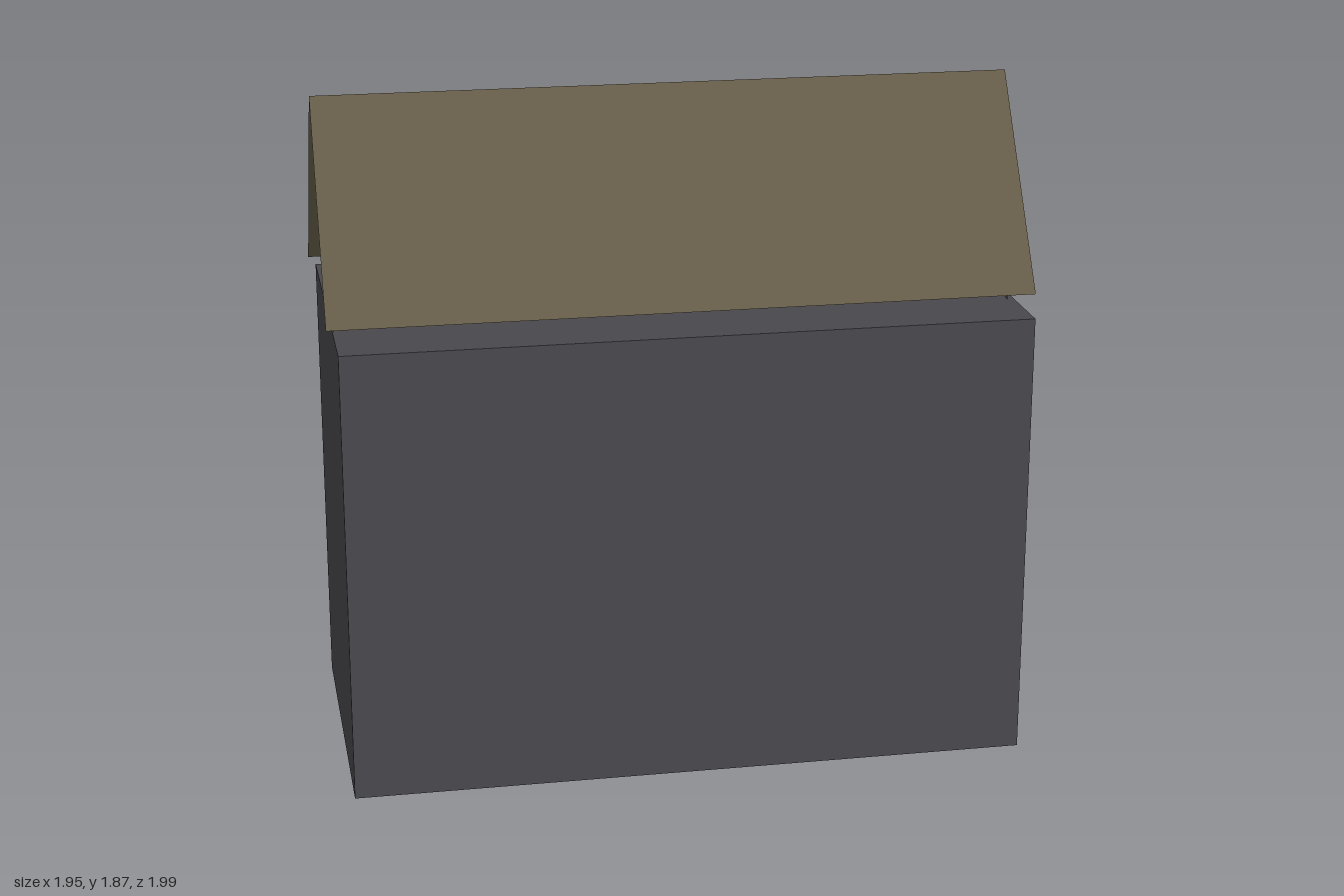
import * as THREE from 'three';

const LENGTH = 1.885, WIDTH = 0.905, WALL_H = 1.27;      // body
const ROOF_HALF = 0.967, EAVE_Z = 0.371, EAVE_Y = 1.315; // roof
const RIDGE_Y = 1.865, RIDGE_Z = 0.01;

// Flat convex panel from its corners
function panel(name, corners, material) {
  const geometry = new THREE.BufferGeometry().setFromPoints(corners.map((c) => new THREE.Vector3(...c)));
  const index = [];
  for (let i = 1; i < corners.length - 1; i++) index.push(0, i, i + 1);
  geometry.setIndex(index);
  geometry.computeVertexNormals();
  const mesh = new THREE.Mesh(geometry, material);
  mesh.name = name;
  return mesh;
}

export function createModel() {
  const wall = new THREE.MeshStandardMaterial({ name: 'charcoal wall', color: 0x49484d });
  const gableWall = wall;
  gableWall.side = THREE.DoubleSide;
  const roof = new THREE.MeshStandardMaterial({ name: 'olive brown roof', color: 0x655c48, side: THREE.DoubleSide });

  const house = new THREE.Group();
  house.name = 'house';

  // Plain box body
  const body = new THREE.Mesh(new THREE.BoxGeometry(LENGTH, WALL_H, WIDTH), wall);
  body.name = 'body';
  body.position.y = WALL_H / 2;
  house.add(body);

  for (const s of [-1, 1]) {
    // Thin roof slope, open underneath
    const slope = [
      [-ROOF_HALF, EAVE_Y, s * EAVE_Z],
      [ROOF_HALF, EAVE_Y, s * EAVE_Z],
      [ROOF_HALF, RIDGE_Y, RIDGE_Z],
      [-ROOF_HALF, RIDGE_Y, RIDGE_Z],
    ];
    house.add(panel(s > 0 ? 'frontRoofSlope' : 'backRoofSlope', s > 0 ? slope : slope.reverse(), roof));

    // Slightly skewed gable end, set inside the roof
    const gable = [
      [s * 0.89, 1.3, s * 0.364],
      [s * 0.947, 1.3, s * -0.366],
      [s * 0.958, 1.858, RIDGE_Z],
    ];
    house.add(panel(s > 0 ? 'rightGable' : 'leftGable', gable, gableWall));
  }

  // The house stands diagonally
  house.rotation.y = 0.812;
  const model = new THREE.Group();
  model.name = 'model';
  model.add(house);
  return model;
}
